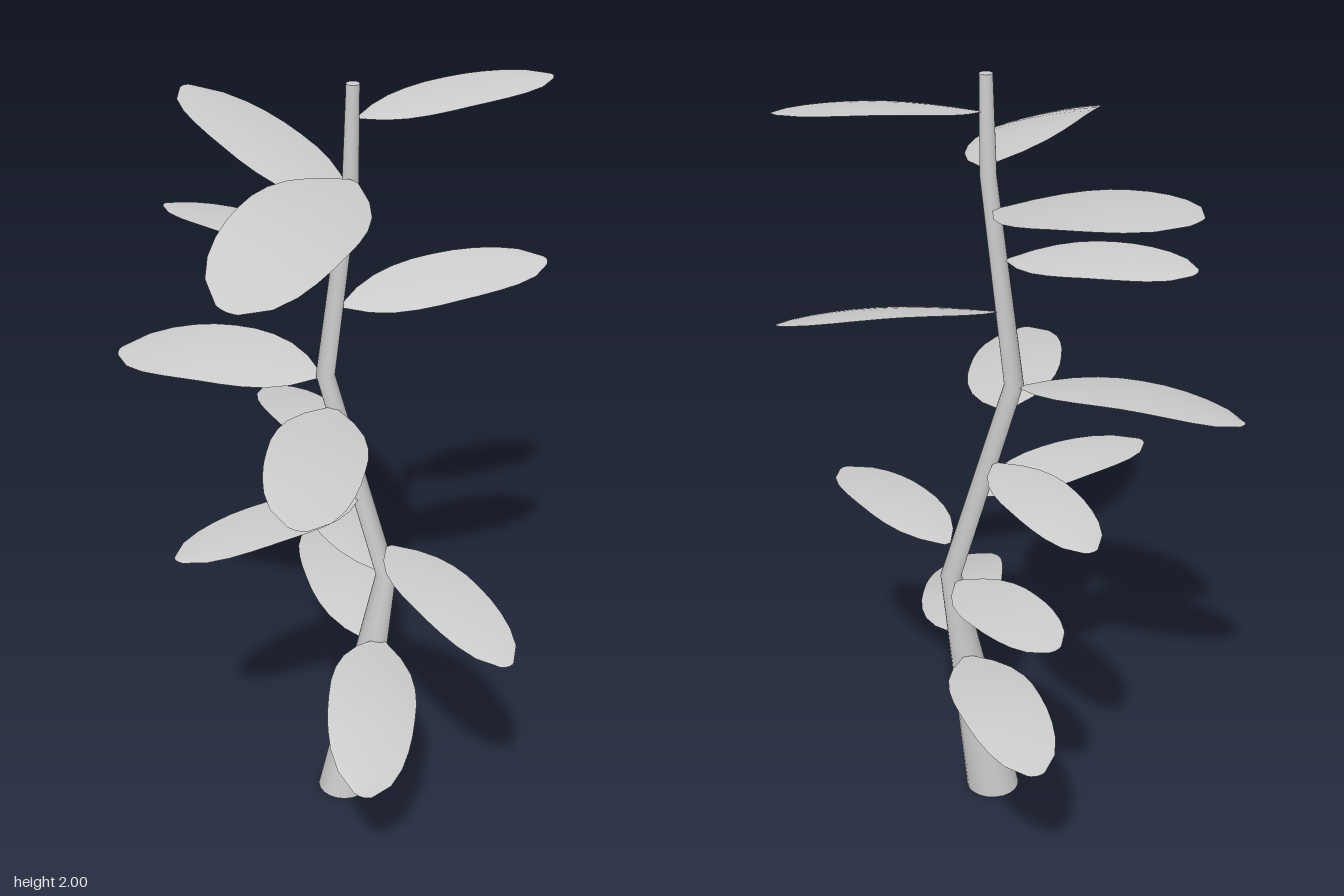
import * as THREE from 'three';

const material = new THREE.MeshStandardMaterial({ color: 0xcccccc, side: THREE.DoubleSide });

// Stem centre line and radius: y, x, z, r
const STEM = [
  [0, 0.07, -0.025, 0.07],
  [0.68, 0.163, -0.08, 0.027],
  [1.24, -0.005, -0.089, 0.024],
  [1.76, 0.055, -0.088, 0.02],
  [2, 0.059, -0.086, 0.016],
];

// Leaves: base [x, y, z], tip [x, y, z], width, roll (radians), arch height
const LEAVES = [
  [[0.07, 1.915, -0.1], [0.47, 1.965, -0.37], 0.17, 0.08, 0.015],
  [[0.07, 1.775, -0.06], [-0.03, 1.73, 0.585], 0.27, -0.26, 0.035],
  [[0.035, 1.685, -0.1], [-0.48, 1.82, -0.45], 0.25, 0.12, 0.02],
  [[0.01, 1.56, -0.09], [-0.45, 1.605, -0.19], 0.19, 0.12, 0.02],
  [[0.035, 1.43, -0.1], [0.48, 1.48, -0.4], 0.19, 0.24, 0.02],
  [[-0.02, 1.235, -0.09], [-0.57, 1.21, -0.13], 0.25, -0.15, 0.035],
  [[0.02, 1.16, -0.07], [0.09, 1.145, 0.475], 0.24, -0.16, 0.02],
  [[0.04, 1.025, -0.1], [-0.265, 0.995, -0.43], 0.18, 0.04, 0.02],
  [[0.085, 0.91, -0.06], [-0.26, 0.91, 0.335], 0.19, 0.04, 0.022],
  [[0.17, 0.77, -0.08], [0.565, 0.748, 0.315], 0.19, 0, 0.025],
  [[0.14, 0.675, -0.1], [-0.185, 0.725, -0.44], 0.18, 0.2, 0.015],
  [[0.16, 0.49, -0.05], [0.255, 0.41, 0.485], 0.23, -0.3, 0.035],
  [[0.12, 0.448, -0.095], [-0.17, 0.463, -0.585], 0.21, 0.04, 0.03],
];

// Half-width along the leaf: narrow foot, broad middle, blunt tip
const OUTLINE = [0.09, 0.53, 0.8, 0.94, 1, 1, 0.98, 0.92, 0.81, 0.6, 0.2];

// Tapered stem: a lathe sheared along the bent centre line
function makeStem() {
  const profile = [new THREE.Vector2(0, 0), new THREE.Vector2(STEM[0][3], 0)];
  for (const [y, , , r] of STEM) profile.push(new THREE.Vector2(r, y));
  profile.push(new THREE.Vector2(STEM[4][3], 2), new THREE.Vector2(0, 2));
  const geometry = new THREE.LatheGeometry(profile, 20);
  const p = geometry.attributes.position;
  for (let i = 0; i < p.count; i++) {
    const [, x, z] = STEM.find(([y]) => Math.abs(y - p.getY(i)) < 1e-4);
    p.setXYZ(i, p.getX(i) + x, p.getY(i), p.getZ(i) + z);
  }
  geometry.computeVertexNormals();
  const mesh = new THREE.Mesh(geometry, material);
  mesh.name = 'stem';
  return mesh;
}

// Thin arched blade running from base to tip
function makeLeaf([base, tip, width, roll, arch], index) {
  const start = new THREE.Vector3(...base);
  const along = new THREE.Vector3(...tip).sub(start);
  const axis = along.clone().normalize();
  const side = new THREE.Vector3(along.z, 0, -along.x).normalize();
  const up = axis.clone().cross(side);
  // a positive roll lifts the +side edge
  side.applyAxisAngle(axis, roll);
  const rows = OUTLINE.length - 1;
  const geometry = new THREE.PlaneGeometry(1, 1, 6, rows);
  const p = geometry.attributes.position;
  const v = new THREE.Vector3();
  for (let i = 0; i < p.count; i++) {
    const across = p.getX(i) * 2;
    const t = p.getY(i) + 0.5;
    const half = OUTLINE[Math.round(t * rows)] * width / 2;
    const lift = arch * Math.sin(Math.PI * t) - 0.06 * half * across * across;
    // the tip edge is rounded by pulling its corners back
    const reach = t - (t > 0.99 ? 0.015 * across * across : 0);
    v.copy(start).addScaledVector(along, reach)
      .addScaledVector(side, across * half)
      .addScaledVector(up, lift);
    p.setXYZ(i, v.x, v.y, v.z);
  }
  geometry.computeVertexNormals();
  const mesh = new THREE.Mesh(geometry, material);
  mesh.name = `leaf${index + 1}`;
  return mesh;
}

export function createModel() {
  const group = new THREE.Group();
  group.name = 'leafyBranch';
  const leaves = new THREE.Group();
  leaves.name = 'leaves';
  LEAVES.forEach((leaf, i) => leaves.add(makeLeaf(leaf, i)));
  group.add(makeStem(), leaves);
  return group;
}
